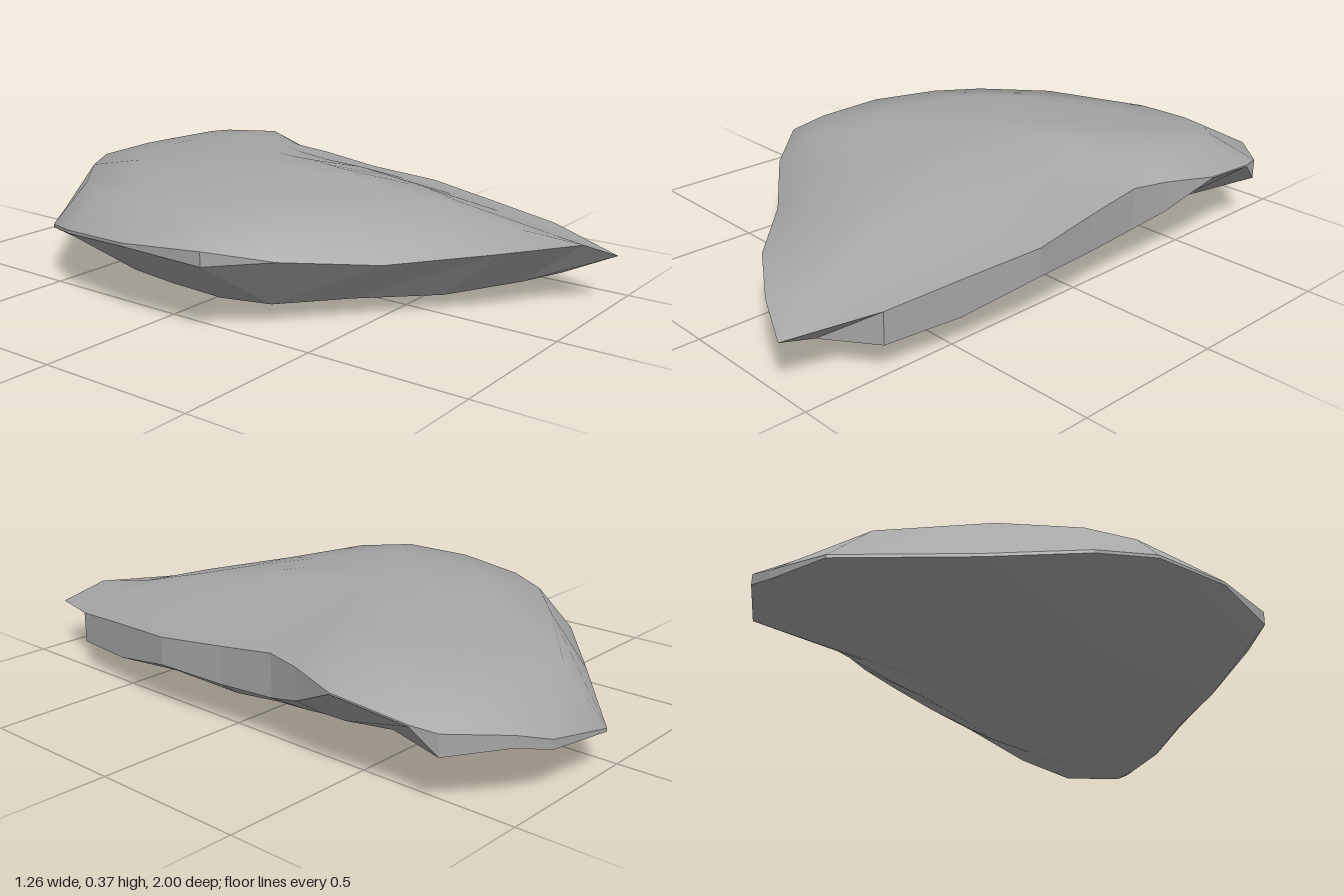
import * as THREE from 'three';
import { mergeVertices } from 'three/addons/utils/BufferGeometryUtils.js';

// Outline stations, clockwise from the back as seen from above:
// x, z, upper rim height, lower rim height, shoulder height, belly height
const stations = [
  [0.07, -1, 0.13, 0.12, 0.275, 0.05],
  [0.31, -0.98, 0.17, 0.14, 0.285, 0.06],
  [0.43, -0.945, 0.21, 0.175, 0.29, 0.07],
  [0.57, -0.81, 0.22, 0.155, 0.315, 0.08],
  [0.595, -0.73, 0.23, 0.225, 0.325, 0.09],
  [0.63, -0.49, 0.265, 0.26, 0.34, 0.08],
  [0.58, -0.32, 0.28, 0.18, 0.315, 0.06],
  [0.555, -0.2, 0.285, 0.15, 0.3, 0.045],
  [0.56, 0, 0.26, 0.14, 0.275, 0.04],
  [0.585, 0.24, 0.24, 0.15, 0.255, 0.03],
  [0.54, 0.5, 0.215, 0.1, 0.24, 0.03],
  [0.5, 0.74, 0.19, 0.09, 0.22, 0.03],
  [0.395, 1, 0.155, 0.085, 0.205, 0.035],
  [0.265, 0.945, 0.21, 0.07, 0.235, 0.035],
  [0.03, 0.795, 0.21, 0.05, 0.26, 0.03],
  [-0.23, 0.56, 0.195, 0.055, 0.295, 0.035],
  [-0.48, 0.375, 0.23, 0.06, 0.325, 0.04],
  [-0.62, 0.215, 0.265, 0.22, 0.33, 0.05],
  [-0.635, -0.07, 0.24, 0.23, 0.33, 0.06],
  [-0.58, -0.36, 0.215, 0.205, 0.32, 0.055],
  [-0.48, -0.54, 0.18, 0.17, 0.315, 0.05],
  [-0.25, -0.74, 0.15, 0.14, 0.315, 0.045],
];
// The lower rim is undercut along the front left edge
const undercut = { 12: 0.86, 13: 0.83, 14: 0.8, 15: 0.8, 16: 0.8 };

const centreZ = -0.1;
const crown = 0.372;

// One closed ring: the outline scaled about the centre, at given heights
function ring(scale, height) {
  return stations.map((s, i) => {
    const k = typeof scale === 'function' ? scale(i) : scale;
    return [s[0] * k, height(s), centreZ + (s[1] - centreZ) * k];
  });
}

// Skin between rings ordered from the top centre outward and down
function loft(rings, faceted = false) {
  const n = stations.length;
  const index = [];
  for (let r = 0; r < rings.length - 1; r++) {
    for (let i = 0; i < n; i++) {
      const j = (i + 1) % n;
      const a = r * n, b = a + n;
      index.push(a + i, b + j, b + i, a + i, a + j, b + j);
    }
  }
  let geometry = new THREE.BufferGeometry();
  geometry.setAttribute('position', new THREE.Float32BufferAttribute(rings.flat(2), 3));
  geometry.setIndex(index);
  geometry = faceted ? geometry.toNonIndexed() : mergeVertices(geometry);
  geometry.computeVertexNormals();
  return geometry;
}

export function createModel() {
  const group = new THREE.Group();
  group.name = 'stoneFlake';
  const stone = new THREE.MeshStandardMaterial({ color: 0xa6a6a6 });
  stone.name = 'grey stone';

  const add = (name, geometry) => {
    const mesh = new THREE.Mesh(geometry, stone);
    mesh.name = name;
    group.add(mesh);
  };

  const upperRim = ring(1, s => s[2]);
  const lowerRim = ring(i => undercut[i] ?? 1, s => s[3]);

  // Domed upper face
  add('upperFace', loft([
    ring(0, () => crown),
    ring(0.3, s => crown + (s[4] - crown) * 0.16),
    ring(0.58, s => crown + (s[4] - crown) * 0.52),
    ring(0.83, s => s[4]),
    upperRim,
  ]));

  // Chipped edge between the two faces
  add('chippedEdge', loft([upperRim, lowerRim], true));

  // Shallow rounded underside
  add('underside', loft([
    lowerRim,
    ring(0.66, s => s[5]),
    ring(0.35, s => s[5] * 0.32),
    ring(0, () => 0),
  ]));

  return group;
}
